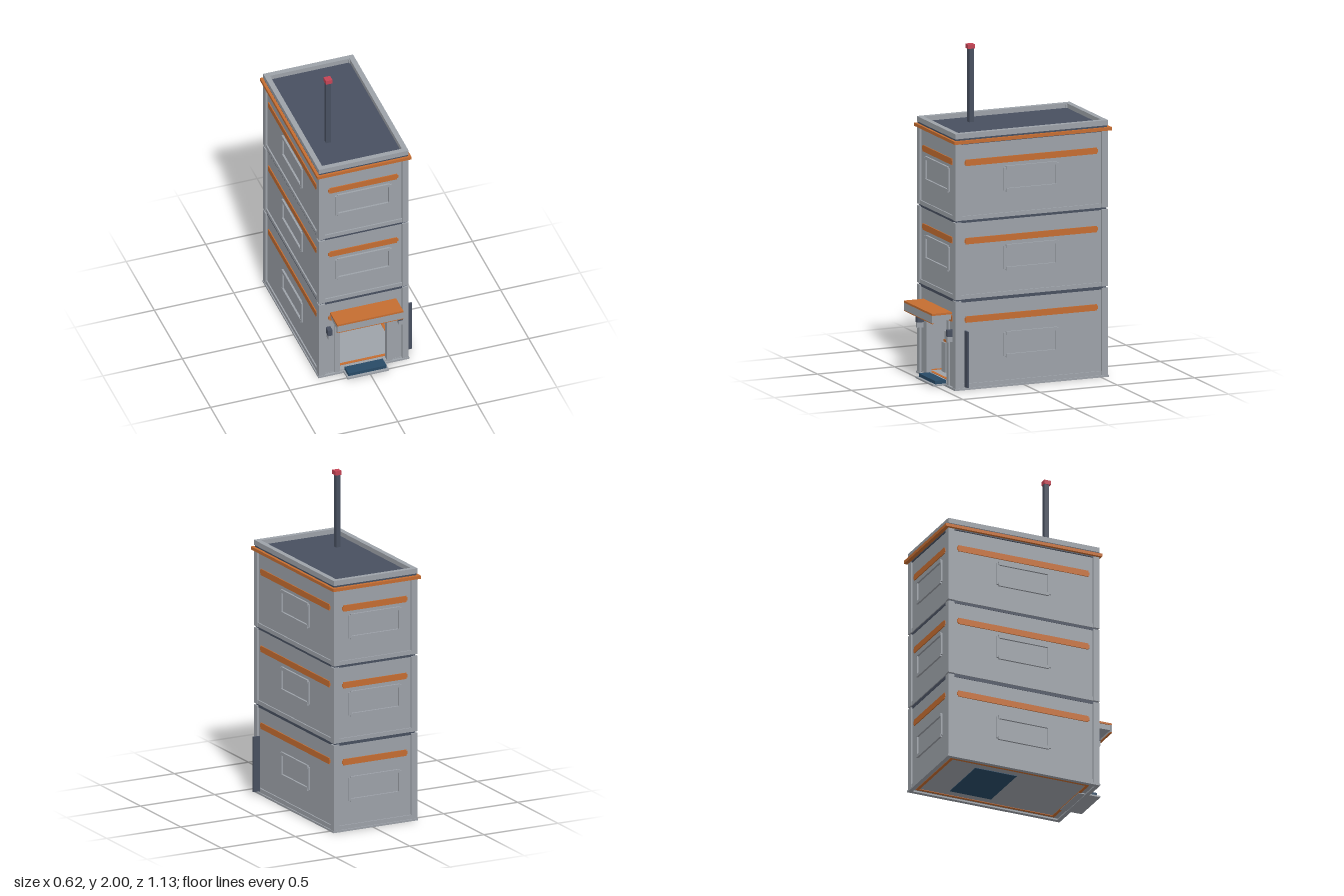
import * as THREE from 'three';

const mat = (name, color) => {
  const m = new THREE.MeshStandardMaterial({ color });
  m.name = name;
  return m;
};

export function createModel() {
  const grey = mat('wall grey', 0x9da2a9);
  const orange = mat('trim orange', 0xc56d31);
  const slate = mat('dark slate', 0x485060);
  const blue = mat('mat blue', 0x284a66);
  const red = mat('beacon red', 0xc54455);

  const root = new THREE.Group();
  root.name = 'tower';

  // Box given by its minimum and maximum on each axis
  function box(name, m, x0, x1, y0, y1, z0, z1, parent = root) {
    const mesh = new THREE.Mesh(new THREE.BoxGeometry(x1 - x0, y1 - y0, z1 - z0), m);
    mesh.position.set((x0 + x1) / 2, (y0 + y1) / 2, (z0 + z1) / 2);
    mesh.name = name;
    parent.add(mesh);
    return mesh;
  }

  // Rectangular ring of four bars
  function ring(name, m, x0, x1, y0, y1, z0, z1, t) {
    const g = new THREE.Group();
    g.name = name;
    box(name + 'Left', m, x1 - t, x1, y0, y1, z0, z1, g);
    box(name + 'Right', m, x0, x0 + t, y0, y1, z0, z1, g);
    box(name + 'Front', m, x0 + t, x1 - t, y0, y1, z1 - t, z1, g);
    box(name + 'Back', m, x0 + t, x1 - t, y0, y1, z0, z0 + t, g);
    root.add(g);
  }

  const X0 = -0.3, X1 = 0.265, Z0 = -0.545, Z1 = 0.445;
  const cx = (X0 + X1) / 2, cz = (Z0 + Z1) / 2;
  const W = X1 - X0, L = Z1 - Z0, inset = 0.012;

  // Raised window surround with stepped corners
  function windowFrame(parent, y, z) {
    const g = new THREE.Group();
    g.name = 'windowFrame';
    for (const s of [-1, 1]) {
      const yc = y + s * 0.068, xc = s * 0.168;
      box('frameRail', grey, -0.165, 0.165, yc - 0.01, yc + 0.01, z, z + 0.012, g);
      box('frameStile', grey, xc - 0.01, xc + 0.01, y - 0.07, y + 0.07, z, z + 0.01, g);
    }
    parent.add(g);
  }

  const storeys = [
    { y0: 0.012, y1: 0.54, win: 0.253, band: 0.425 },
    { y0: 0.55, y1: 1.017, win: 0.78, band: 0.9 },
    { y0: 1.028, y1: 1.492, win: 1.257, band: 1.375 },
  ];
  // Front, left, back and right: facing angle, length, distance from centre
  const sides = [
    [0, W, L / 2], [Math.PI / 2, L, W / 2],
    [Math.PI, W, L / 2], [-Math.PI / 2, L, W / 2],
  ];

  storeys.forEach((s, level) => {
    // Corner posts
    for (const x of [X0, X1 - 0.04])
      for (const z of [Z0, Z1 - 0.04])
        box('cornerPost', grey, x, x + 0.04, s.y0, s.y1, z, z + 0.04);
    // Solid core of the upper storeys
    if (level > 0)
      box('storeyCore', grey, X0 + inset, X1 - inset, s.y0, s.y1, Z0 + inset, Z1 - inset);

    sides.forEach(([angle, len, dist], k) => {
      const g = new THREE.Group();
      g.name = 'facade';
      g.position.set(cx, 0, cz);
      g.rotation.y = angle;
      root.add(g);
      const h = len / 2 - 0.04, p = dist - inset;
      const entrance = level === 0 && k === 0;
      if (level === 0 && !entrance)
        box('wall', grey, -h, h, s.y0, s.y1, p - 0.02, p, g);
      if (!entrance) {
        box('bottomRail', grey, -h, h, s.y0, s.y0 + 0.025, p, p + 0.008, g);
        windowFrame(g, s.win, p);
      }
      // Painted band with narrower tips
      const b = len / 2 - 0.07;
      box('band', orange, -b, b, s.band - 0.019, s.band + 0.019, p, p + 0.006, g);
      box('bandTip', orange, -b - 0.007, b + 0.007, s.band - 0.01, s.band + 0.01, p, p + 0.005, g);
    });
  });

  // Dark joints between storeys and ground ceiling
  box('lowerJoint', slate, X0 + 0.01, X1 - 0.01, 0.53, 0.552, Z0 + 0.01, Z1 - 0.01);
  box('upperJoint', slate, X0 + 0.01, X1 - 0.01, 1.012, 1.032, Z0 + 0.01, Z1 - 0.01);

  // Entrance wall and door jambs
  const pz = Z1 - inset;
  box('entranceWallRight', grey, -0.26, -0.185, 0.012, 0.54, pz - 0.02, pz);
  box('entranceWallLeft', grey, 0.15, 0.225, 0.012, 0.54, pz - 0.02, pz);
  box('entranceHead', grey, -0.185, 0.15, 0.405, 0.54, pz - 0.02, pz);
  box('jambRight', grey, -0.197, -0.165, 0.012, 0.405, pz - 0.025, pz + 0.01);
  box('jambLeft', grey, 0.13, 0.162, 0.012, 0.405, pz - 0.025, pz + 0.01);

  // Awning
  box('awningTop', orange, -0.225, 0.19, 0.45, 0.462, 0.43, 0.562);
  box('awningBody', grey, -0.22, 0.185, 0.417, 0.45, 0.43, 0.55);
  box('awningLip', grey, -0.225, 0.19, 0.405, 0.45, 0.55, 0.562);
  box('awningEdge', orange, -0.225, 0.19, 0.4, 0.405, 0.55, 0.562);

  // Wall lamps beside the entrance
  for (const x of [-0.238, 0.205]) {
    box('lampBody', slate, x - 0.014, x + 0.014, 0.32, 0.36, 0.432, 0.474);
    box('lampShade', grey, x - 0.01, x + 0.01, 0.288, 0.32, 0.432, 0.474);
  }

  // Open door leaf at the side
  box('doorLeaf', slate, 0.262, 0.307, 0.02, 0.36, 0.374, 0.386);

  // Base, floor and floor markings
  ring('baseTrim', grey, X0 - 0.003, X1 + 0.003, 0, 0.012, Z0 - 0.003, Z1 + 0.003, 0.025);
  box('floor', grey, X0 + 0.01, X1 - 0.01, 0.01, 0.018, Z0 + 0.01, Z1 - 0.01);
  ring('floorBorder', orange, X0 + 0.034, X1 - 0.034, 0.007, 0.021, Z0 + 0.034, Z1 - 0.05, 0.018);
  box('floorMat', blue, -0.2, 0.16, 0.006, 0.022, -0.32, -0.05);

  // Doorstep
  box('doorstep', grey, -0.145, 0.115, 0.004, 0.014, 0.38, 0.522);
  box('doorstepMat', blue, -0.135, 0.105, 0.014, 0.034, 0.435, 0.505);

  // Console near the entrance
  box('consoleBody', grey, -0.2, -0.14, 0.02, 0.2, 0.27, 0.33);
  box('consoleNeck', grey, -0.185, -0.155, 0.2, 0.265, 0.285, 0.315);
  box('consoleCap', orange, -0.19, -0.15, 0.2, 0.215, 0.28, 0.32);

  // Desk with screen and pad
  box('desk', grey, -0.165, 0.13, 0.02, 0.135, -0.42, -0.3);
  box('deskBadge', orange, -0.034, -0.006, 0.066, 0.092, -0.3, -0.294);
  box('pad', blue, -0.06, 0.012, 0.135, 0.165, -0.36, -0.31);
  box('screen', slate, 0, 0.088, 0.17, 0.226, -0.36, -0.34);
  box('screenStand', grey, 0.035, 0.053, 0.135, 0.17, -0.36, -0.345);

  // Roof with cornice and parapet
  ring('cornice', orange, X0 - 0.013, X1 + 0.014, 1.495, 1.514, Z0 - 0.02, Z1 + 0.011, 0.05);
  box('roof', slate, X0 + 0.004, X1 - 0.004, 1.488, 1.528, Z0 + 0.004, Z1 - 0.004);
  ring('parapet', grey, X0, X1, 1.525, 1.556, Z0, Z1, 0.032);
  for (const x of [X0 + 0.03, X1 - 0.04])
    for (const z of [Z0 + 0.02, Z1 - 0.04])
      box('parapetCorner', grey, x, x + 0.01, 1.52, 1.55, z, z + 0.02);

  // Mast with beacon
  box('mast', slate, -0.16, -0.13, 1.525, 1.976, 0.15, 0.18);
  box('beacon', red, -0.165, -0.124, 1.974, 2, 0.147, 0.19);

  return root;
}
